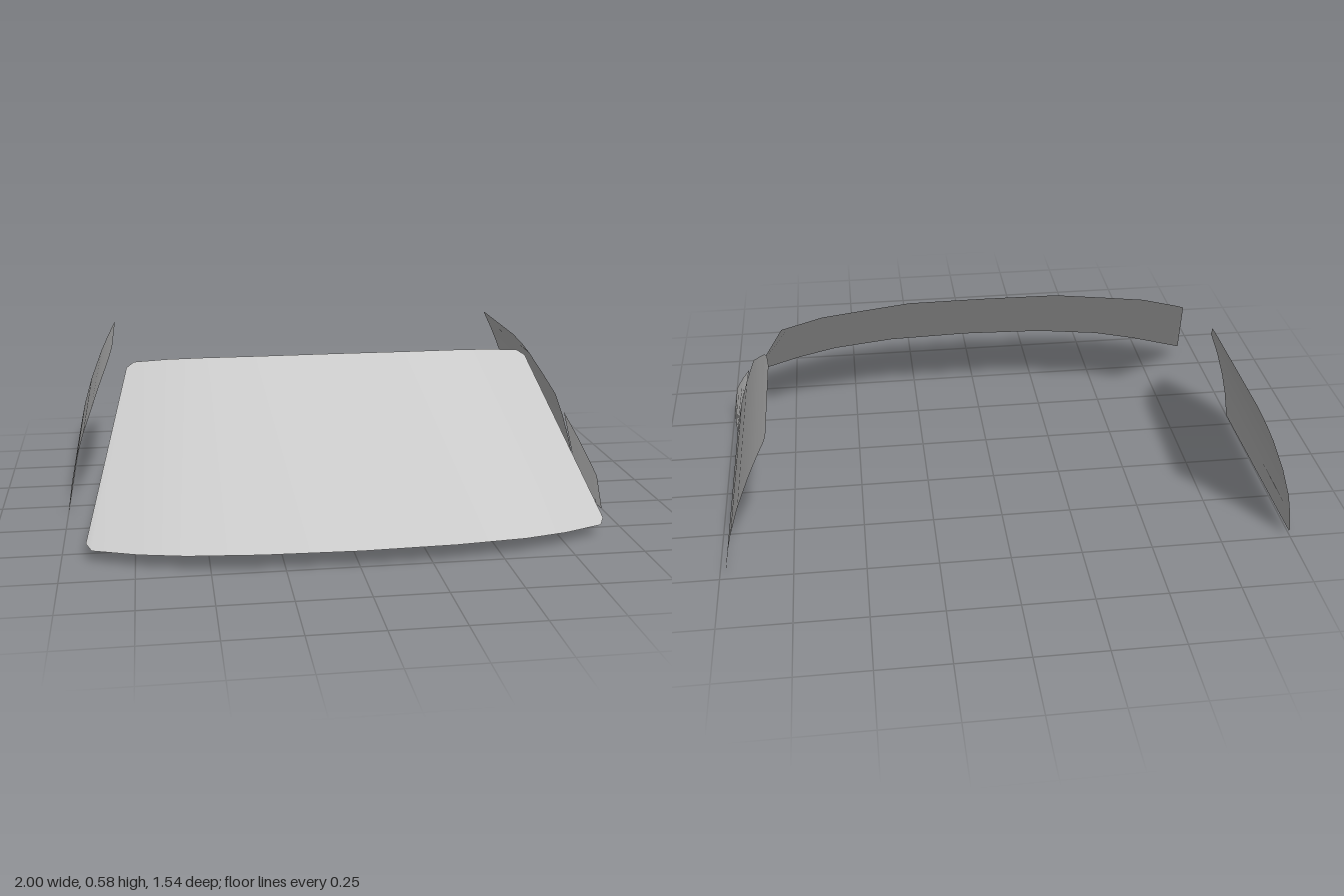
import * as THREE from 'three';

const glass = (name, color) => {
  const m = new THREE.MeshStandardMaterial({ color, side: THREE.DoubleSide });
  m.name = name;
  return m;
};

// Smooth ruled sheet between two matching edges
function sheet(name, a, b, material) {
  const positions = [], index = [];
  a.forEach((p, i) => {
    positions.push(...p, ...b[i]);
    if (i) {
      const k = 2 * i;
      index.push(k - 2, k, k - 1, k, k + 1, k - 1);
    }
  });
  const g = new THREE.BufferGeometry();
  g.setAttribute('position', new THREE.Float32BufferAttribute(positions, 3));
  g.setIndex(index);
  g.computeVertexNormals();
  const mesh = new THREE.Mesh(g, material);
  mesh.name = name;
  return mesh;
}

// Mirror a half edge running outward from x = 0
const mirrorEdge = (half) => [
  ...half.slice(1).reverse().map(([x, y, z]) => [-x, y, z]), ...half];

// Side glass leans inward and curves as it rises
const sideX = (y) => 0.99 - 0.106 * y - 0.386 * y * y;

export function createModel() {
  const group = new THREE.Group();
  group.name = 'carGlass';
  const windshieldGlass = glass('windshield glass', 0xc8c8c8);
  const doorGlass = glass('door glass', 0xb2b2b2);
  const quarterGlass = glass('quarter glass', 0xd8d8d8);

  // Windshield: curved lower and upper edges with clipped corners
  const lower = [[0, 0.067, 0.77], [0.33, 0.066, 0.757], [0.58, 0.06, 0.718],
    [0.74, 0.053, 0.665], [0.895, 0.047, 0.592], [0.915, 0.06, 0.555]];
  const upper = [[0, 0.586, 0.087], [0.28, 0.585, 0.085], [0.48, 0.578, 0.053],
    [0.61, 0.572, 0.033], [0.735, 0.557, -0.005], [0.763, 0.54, 0.013]];
  group.add(sheet('windshield', mirrorEdge(lower), mirrorEdge(upper), windshieldGlass));

  // Door windows: [front y, front z, rear y, rear z] from sill to roof
  const rows = [[0.002, 0.066, 0.018, -0.735], [0.03, 0.066, 0.032, -0.747],
    [0.11, 0.065, 0.11, -0.76], [0.2, 0.064, 0.2, -0.772], [0.3, 0.063, 0.31, -0.772],
    [0.39, 0.062, 0.43, -0.772], [0.45, -0.025, 0.49, -0.765],
    [0.515, -0.12, 0.545, -0.757], [0.54, -0.18, 0.556, -0.75], [0.558, -0.28, 0.562, -0.74]];
  for (const side of [1, -1]) {
    const place = (y, z) => [side * sideX(y) - 0.01, y, z];
    const front = rows.map((r) => place(r[0], r[1]));
    const rear = rows.map((r) => place(r[2], r[3]));
    group.add(side > 0
      ? sheet('leftDoorWindow', rear, front, doorGlass)
      : sheet('rightDoorWindow', front, rear, doorGlass));
  }

  // Small quarter window ahead of the left door: [z, bottom y, top y]
  const columns = [[0.315, 0.004, 0.006], [0.3, 0.004, 0.13], [0.265, 0.004, 0.164],
    [0.262, 0.02, 0.167], [0.185, 0.022, 0.243], [0.14, 0.045, 0.287], [0.1, 0.05, 0.327]];
  const quarterPoint = (y, z) => [sideX(y) - 0.01 + 0.09 * (z - 0.1), y, z];
  group.add(sheet('leftQuarterWindow',
    columns.map(([z, y]) => quarterPoint(y, z)),
    columns.map(([z, , y]) => quarterPoint(y, z)), quarterGlass));

  return group;
}
